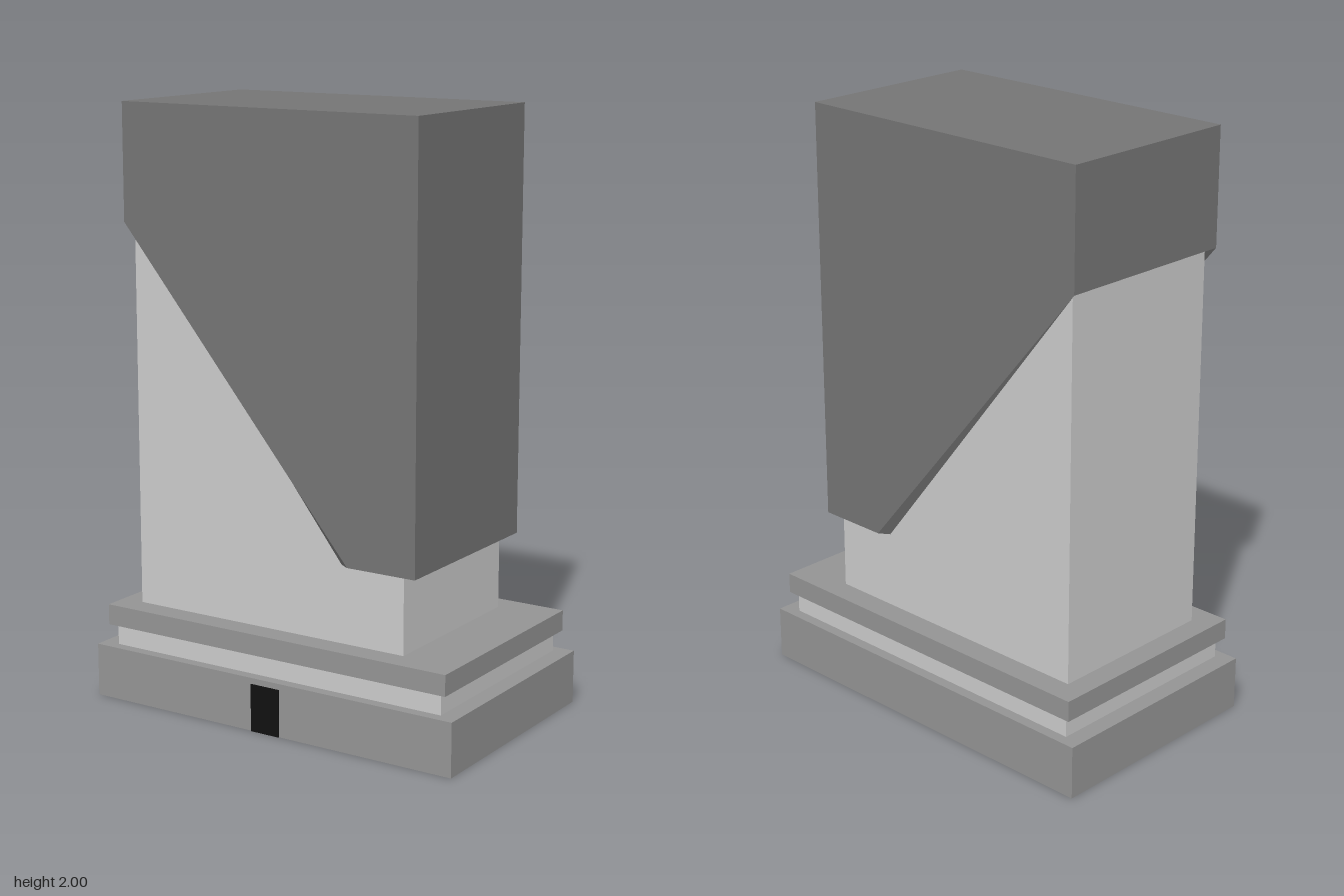
import * as THREE from 'three';

const paint = (color) =>
  new THREE.MeshStandardMaterial({ color, flatShading: true, side: THREE.DoubleSide });

// Six-corner rectangular ring, with a middle break point at xm on both long sides.
function ring(x0, x1, z, y, xm = 0, yLeft = y) {
  return [
    [x0, yLeft, -z], [x0, yLeft, z], [xm, y, z],
    [x1, y, z], [x1, y, -z], [xm, y, -z],
  ];
}

// Open shell of quads joining successive rings; optionally closed on top.
function shell(name, material, rings, capped = false) {
  const pos = [];
  const quad = (a, b, c, d) => pos.push(...a, ...b, ...c, ...a, ...c, ...d);
  for (let r = 0; r + 1 < rings.length; r++) {
    const lo = rings[r], hi = rings[r + 1];
    for (let i = 0; i < 6; i++) {
      const j = (i + 1) % 6;
      quad(lo[i], lo[j], hi[j], hi[i]);
    }
  }
  if (capped) {
    const t = rings[rings.length - 1];
    quad(t[0], t[1], t[2], t[5]);
    quad(t[5], t[2], t[3], t[4]);
  }
  const geo = new THREE.BufferGeometry();
  geo.setAttribute('position', new THREE.Float32BufferAttribute(pos, 3));
  geo.computeVertexNormals();
  const mesh = new THREE.Mesh(geo, material);
  mesh.name = name;
  return mesh;
}

export function createModel() {
  const model = new THREE.Group();
  model.name = 'tower';

  const light = paint(0xcccccc);
  const stone = paint(0x949494);
  const dark = paint(0x757575);

  // Hollow stepped podium, open underneath
  const base = (y) => ring(-0.69, 0.69, 0.407, y);
  const neck = (y) => ring(-0.63, 0.63, 0.37, y);
  const slab = (y) => ring(-0.655, 0.655, 0.388, y);
  const shaft = (y) => ring(-0.577, 0.455, 0.305, y, 0.225);
  model.add(shell('podiumBase', stone, [base(0), base(0.18), neck(0.18)]));
  model.add(shell('podiumNeck', light, [neck(0.18), neck(0.25)]));
  model.add(shell('podiumSlab', stone, [neck(0.25), slab(0.25), slab(0.32), shaft(0.32)]));

  // Shaft, cut off along the diagonal where the cladding starts
  const cut = ring(-0.577, 0.455, 0.305, 0.58, 0.225, 1.605);
  model.add(shell('shaft', light, [shaft(0.32), cut]));

  // Overhanging upper block with a diagonal lower edge
  const lip = ring(-0.603, 0.508, 0.328, 0.58, 0.26, 1.61);
  const top = ring(-0.603, 0.508, 0.328, 2, 0.26);
  model.add(shell('upperBlock', dark, [cut, lip, top], true));

  // Entrance
  const door = new THREE.Mesh(new THREE.BoxGeometry(0.108, 0.16, 0.008), paint(0x111111));
  door.name = 'door';
  door.position.set(-0.002, 0.08, 0.407);
  model.add(door);

  return model;
}
